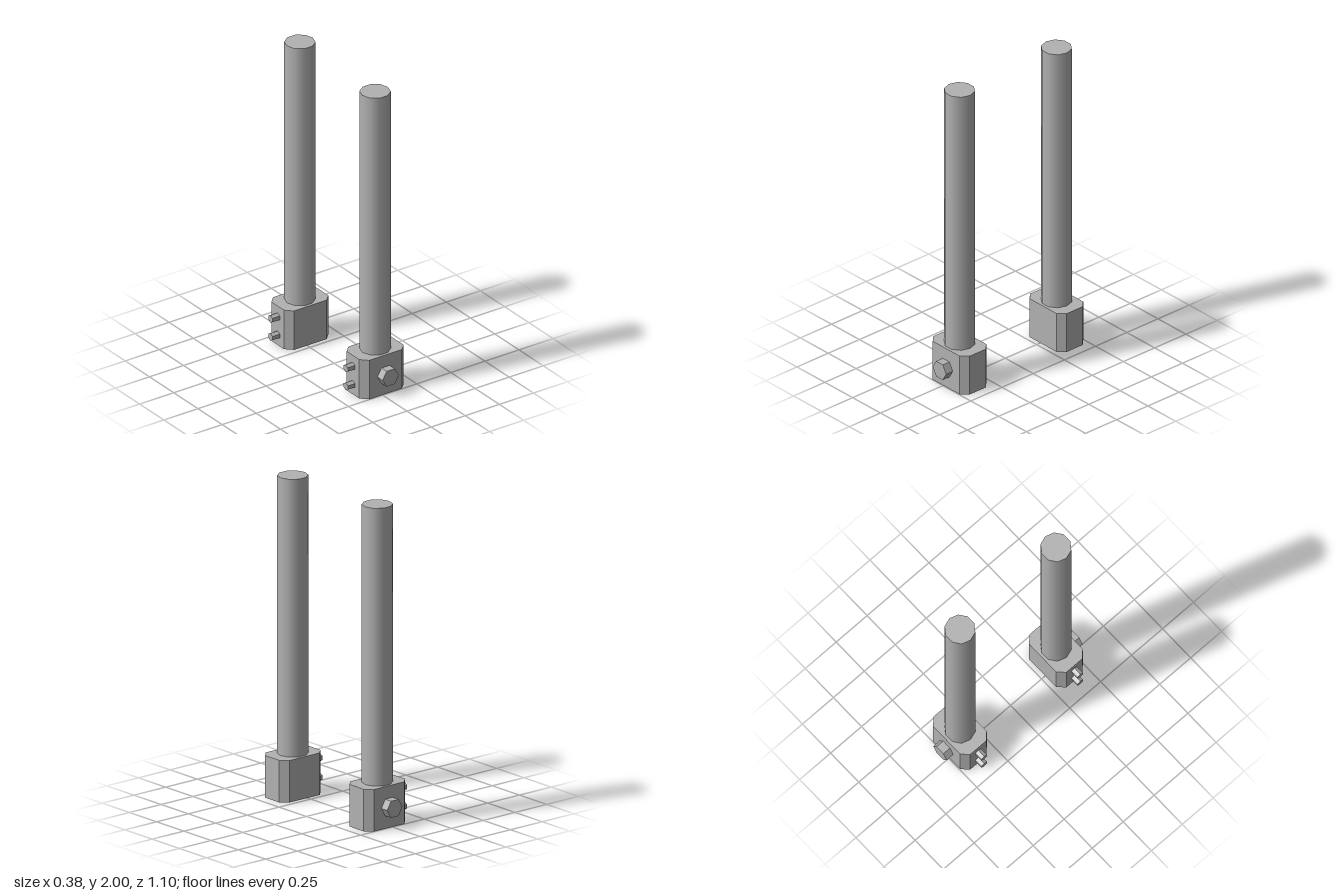
import * as THREE from 'three';

const CX = 0.024, CZ = 0.388, BLOCK_H = 0.263;

export function createModel() {
  const model = new THREE.Group();
  model.name = 'postPair';
  const steel = new THREE.MeshStandardMaterial({ color: 0xb2b2b2 });
  steel.name = 'grey steel';

  const add = (parent, name, geometry, x, y, z) => {
    const mesh = new THREE.Mesh(geometry, steel);
    mesh.name = name;
    mesh.position.set(x, y, z);
    parent.add(mesh);
  };

  // Flat-sided hexagonal bolt head, upright before turning
  const hexBolt = (radius, length) =>
    new THREE.CylinderGeometry(radius, radius, length, 6).toNonIndexed();
  const flat = (geometry) => {
    geometry.computeVertexNormals();
    return geometry;
  };

  // Clamp block: rectangle with chamfered vertical corners
  const w = 0.163, d = 0.108, c = 0.043;
  const outline = new THREE.Shape([
    [w, d - c], [w - c, d], [c - w, d], [-w, d - c],
    [-w, c - d], [c - w, -d], [w - c, -d], [w, c - d],
  ].map(([x, y]) => new THREE.Vector2(x, y)));
  const blockGeometry = new THREE.ExtrudeGeometry(outline, { depth: BLOCK_H, bevelEnabled: false })
    .rotateX(-Math.PI / 2);

  // Ten-sided smooth pole with corners on the x axis
  const poleGeometry = new THREE.CylinderGeometry(0.094, 0.094, 2 - BLOCK_H, 10, 1, false, Math.PI / 2);

  // Large bolt along z with corners on x; small bolts along x with corners up
  const largeBolt = flat(hexBolt(0.06, 0.053).rotateY(Math.PI / 2).rotateX(Math.PI / 2));
  const smallBolt = flat(hexBolt(0.025, 0.053).rotateY(Math.PI / 2).rotateZ(Math.PI / 2));

  for (const side of [1, -1]) {
    const post = new THREE.Group();
    post.name = side > 0 ? 'frontPost' : 'backPost';
    post.position.set(CX, 0, side * CZ);
    add(post, 'clampBlock', blockGeometry, 0, 0, 0);
    add(post, 'pole', poleGeometry, 0, (2 + BLOCK_H) / 2, 0);
    add(post, 'outerBolt', largeBolt, 0, 0.132, side * (d + 0.0265));
    for (const y of [0.07, 0.192]) add(post, 'sideBolt', smallBolt, -w - 0.0265, y, 0);
    model.add(post);
  }
  return model;
}
